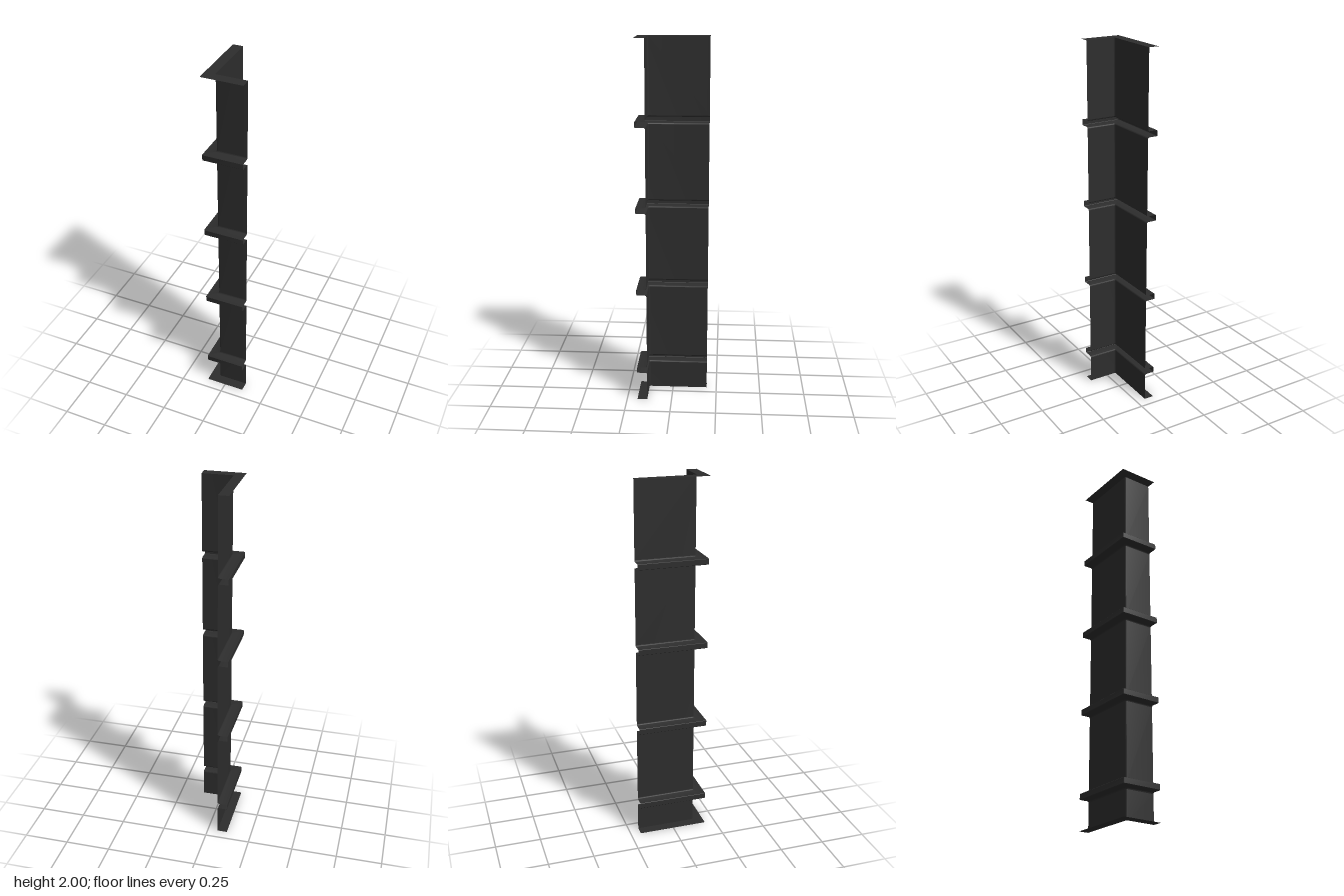
import * as THREE from 'three';
import { toCreasedNormals } from 'three/addons/utils/BufferGeometryUtils.js';

const DEPTH = 0.055;   // how far ribs and end flanges project outward
const HALF = 0.016;    // half height of a rib
const FILLET = 0.008;  // bend where the sheet turns into a rib
const RIB_Y = [0.178, 0.639, 1.1, 1.561];

// L-shaped plan path, pushed outward (-x, +z) by the given offset
function planPath(offset) {
  const x = -0.056 - offset, z = 0.137 + offset, r = 0.007;
  const points = [[x, -0.194]];
  for (let i = 0; i <= 4; i++) {
    const a = (i / 4) * Math.PI / 2;
    points.push([x + r - r * Math.cos(a), z - r + r * Math.sin(a)]);
  }
  points.push([0.111, z]);
  return points;
}

// Sweep a profile of [offset, y] points along the plan path as an open sheet
function sweep(profile) {
  const positions = [], index = [];
  const rows = profile.map(([offset, y]) => planPath(offset).map(([x, z]) => [x, y, z]));
  const n = rows[0].length;
  rows.forEach((row) => row.forEach((p) => positions.push(...p)));
  for (let j = 0; j < rows.length - 1; j++) {
    for (let i = 0; i < n - 1; i++) {
      const a = j * n + i, b = a + 1, c = a + n, d = c + 1;
      index.push(a, b, d, a, d, c);
    }
  }
  const geometry = new THREE.BufferGeometry();
  geometry.setAttribute('position', new THREE.Float32BufferAttribute(positions, 3));
  geometry.setIndex(index);
  geometry.computeVertexNormals();
  return toCreasedNormals(geometry, 0.6);
}

// Hollow rib: the sheet bends out, runs up the outer face and bends back
function ribProfile(y) {
  const lower = [];
  for (let i = 0; i <= 4; i++) {
    const a = (i / 4) * Math.PI / 2;
    lower.push([FILLET * (1 - Math.cos(a)), -HALF - FILLET + FILLET * Math.sin(a)]);
  }
  lower.push([DEPTH - 0.002, -HALF], [DEPTH, -HALF + 0.002]);
  const upper = lower.map(([o, h]) => [o, -h]).reverse();
  return [...lower, ...upper].map(([o, h]) => [o, y + h]);
}

export function createModel() {
  const group = new THREE.Group();
  group.name = 'cornerTrim';
  const charcoal = new THREE.MeshStandardMaterial({ color: 0x2d2d2d, side: THREE.DoubleSide });
  charcoal.name = 'charcoal';

  const add = (name, profile) => {
    const mesh = new THREE.Mesh(sweep(profile), charcoal);
    mesh.name = name;
    group.add(mesh);
  };

  // Flat wall panels between the ribs
  const reach = HALF + FILLET;
  const starts = [0, ...RIB_Y.map((y) => y + reach)];
  const ends = [...RIB_Y.map((y) => y - reach), 2];
  starts.forEach((y, i) => add('wallPanel' + (i + 1), [[0, y], [0, ends[i]]]));

  // Hollow ribs
  RIB_Y.forEach((y, i) => add('rib' + (i + 1), ribProfile(y)));

  // Thin flanges at both ends
  add('bottomFlange', [[DEPTH, 0], [0, 0]]);
  add('topFlange', [[DEPTH, 2], [0, 2]]);

  return group;
}
